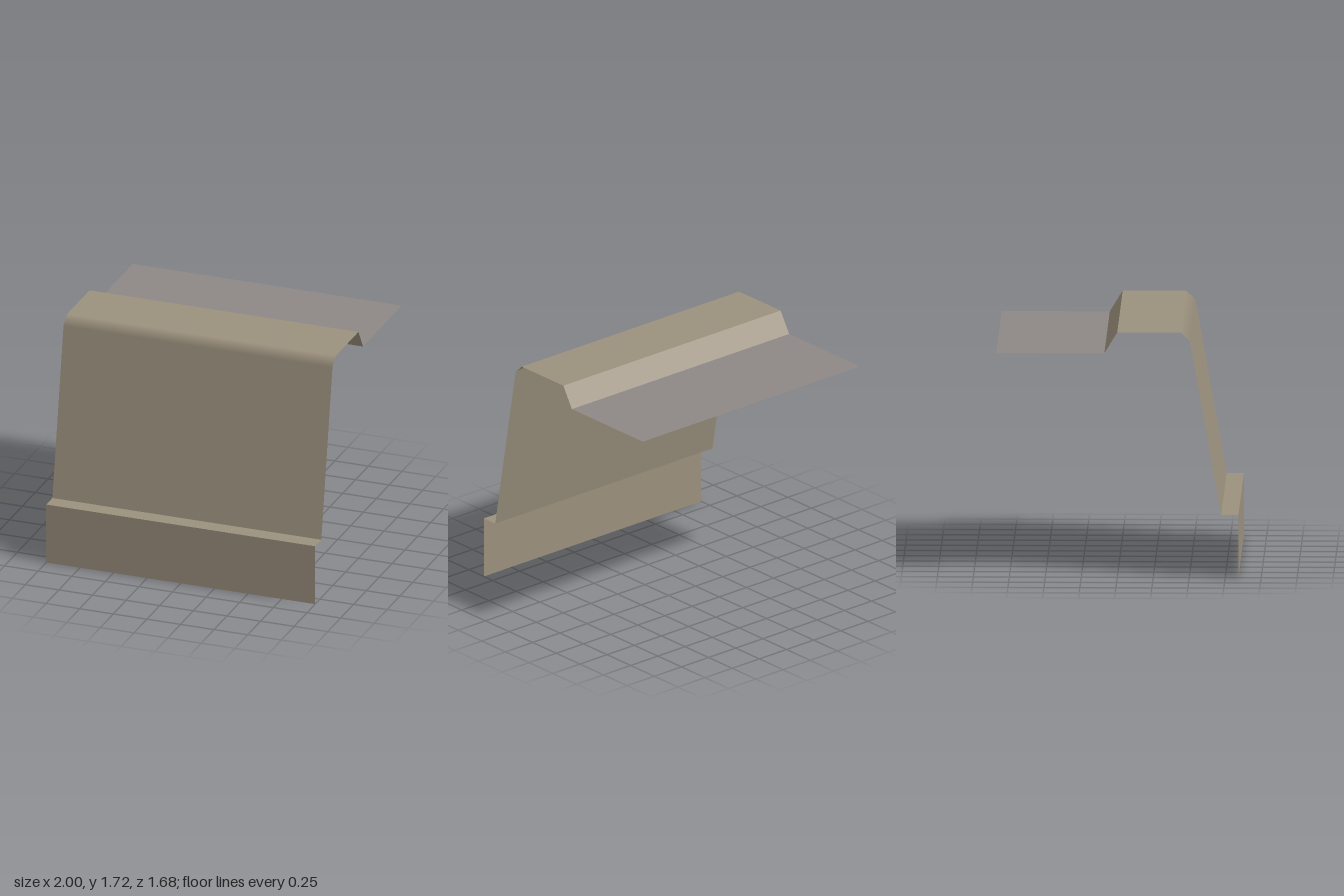
import * as THREE from 'three';

export function createModel() {
  const group = new THREE.Group();
  group.name = 'foldedSheet';

  const beige = new THREE.MeshStandardMaterial({ color: 0x9c917e, side: THREE.DoubleSide });
  beige.name = 'beige';
  const grey = new THREE.MeshStandardMaterial({ color: 0x8e8986, side: THREE.DoubleSide });
  grey.name = 'grey';

  // Side profile as [z, y], running from the back edge to the foot of the front
  const profile = [
    [-0.842, 1.572], [-0.09, 1.572], [0, 1.72], [0.44, 1.72],
    [0.505, 1.66], [0.722, 0.44], [0.842, 0.44], [0.842, 0],
  ];

  // Outward normal of the panel that starts at profile point i
  const panelNormal = (i) => {
    const [z0, y0] = profile[i];
    const [z1, y1] = profile[i + 1];
    return new THREE.Vector3(0, z1 - z0, y0 - y1).normalize();
  };

  // One flat panel across the full width, with a normal for each long edge
  function addPanel(name, i, material, startNormal = panelNormal(i), endNormal = panelNormal(i)) {
    const positions = [];
    const normals = [];
    [startNormal, endNormal].forEach((n, k) => {
      const [z, y] = profile[i + k];
      for (const x of [-1, 1]) {
        positions.push(x, y, z);
        normals.push(n.x, n.y, n.z);
      }
    });
    const geometry = new THREE.BufferGeometry();
    geometry.setAttribute('position', new THREE.Float32BufferAttribute(positions, 3));
    geometry.setAttribute('normal', new THREE.Float32BufferAttribute(normals, 3));
    geometry.setIndex([0, 2, 1, 1, 2, 3]);
    const mesh = new THREE.Mesh(geometry, material);
    mesh.name = name;
    group.add(mesh);
  }

  addPanel('rearShelf', 0, grey);
  addPanel('rearSlope', 1, beige);
  addPanel('topPanel', 2, beige);
  // The bend blends smoothly from the top into the front wall
  addPanel('frontBend', 3, beige, panelNormal(2), panelNormal(4));
  addPanel('frontWall', 4, beige);
  addPanel('ledge', 5, beige);
  addPanel('skirt', 6, beige);

  return group;
}
